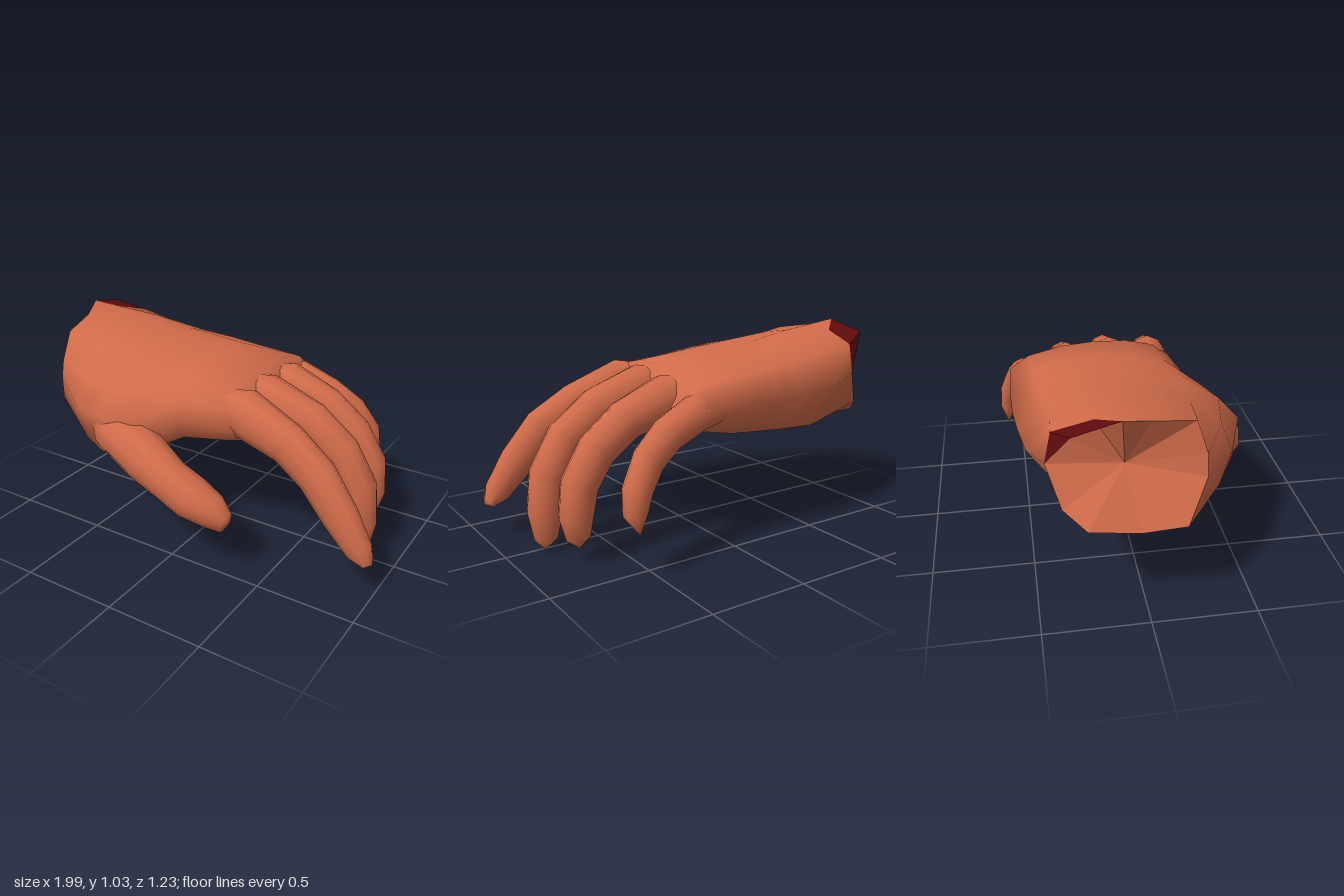
import * as THREE from 'three';

const skin = new THREE.MeshStandardMaterial({ color: 0xd06b49, side: THREE.DoubleSide });
skin.name = 'skin';
const flesh = new THREE.MeshStandardMaterial({ color: 0x5e0b0d, side: THREE.DoubleSide });
flesh.name = 'flesh';

function build(pos, index) {
  const g = new THREE.BufferGeometry();
  g.setAttribute('position', new THREE.Float32BufferAttribute(pos, 3));
  g.setIndex(index);
  g.computeVertexNormals();
  return g;
}

// Skin over a row of equal-length rings, closed to a point at the far end
function loft(rings, tip) {
  const n = rings[0].length;
  const last = (rings.length - 1) * n;
  const index = [];
  for (let j = 0; j < n; j++) {
    const k = (j + 1) % n;
    for (let i = 0; i < last; i += n) index.push(i + j, i + k, i + j + n, i + k, i + k + n, i + j + n);
    index.push(last + n, last + j, last + k);
  }
  return build([...rings.flat(2), ...tip], index);
}

// Flat-sided fan from one point to a row of points
function fan(apex, points) {
  const pos = [];
  for (let i = 0; i < points.length - 1; i++) pos.push(...apex, ...points[i + 1], ...points[i]);
  return build(pos, pos.slice(0, pos.length / 3).map((_, i) => i));
}

// Digit from stations [x, y, z, radius up, radius sideways]; the last station is the tip
function digit(stations, sides = 10) {
  const p = stations.map(s => new THREE.Vector3(s[0], s[1], s[2]));
  const rings = [];
  for (let i = 0; i < p.length - 1; i++) {
    const t = p[i + 1].clone().sub(p[Math.max(i - 1, 0)]).normalize();
    const side = new THREE.Vector3(0, 0, 1).addScaledVector(t, -t.z).normalize();
    const up = side.clone().cross(t);
    const ring = [];
    for (let j = 0; j < sides; j++) {
      const a = j / sides * Math.PI * 2;
      ring.push(p[i].clone()
        .addScaledVector(up, Math.cos(a) * stations[i][3])
        .addScaledVector(side, Math.sin(a) * stations[i][4]).toArray());
    }
    rings.push(ring);
  }
  return loft(rings, p[p.length - 1].toArray());
}

// Uneven wrist edge, and palm cross-sections as [y, z] from the back of the hand round to the palm
const rim = [
  [-0.82, 0.93, -0.41], [-0.84, 0.985, -0.23], [-0.955, 1.03, -0.13], [-0.9, 0.99, 0.0],
  [-0.86, 0.955, 0.2], [-0.88, 0.8, 0.25], [-0.9, 0.7, 0.25], [-1, 0.52, 0.15],
  [-0.99, 0.5, -0.05], [-0.99, 0.53, -0.28], [-0.91, 0.6, -0.38], [-0.82, 0.78, -0.44],
];
const sections = [
  [-0.62, [[0.9, -0.4], [0.96, -0.27], [0.99, -0.13], [0.96, 0.05], [0.91, 0.23], [0.79, 0.38],
    [0.64, 0.44], [0.46, 0.39], [0.415, 0.27], [0.425, -0.03], [0.5, -0.35], [0.73, -0.51]]],
  [-0.4, [[0.87, -0.42], [0.92, -0.28], [0.95, -0.12], [0.935, 0.07], [0.89, 0.27], [0.81, 0.42],
    [0.69, 0.53], [0.49, 0.52], [0.42, 0.34], [0.445, -0.04], [0.515, -0.37], [0.72, -0.54]]],
  [-0.24, [[0.86, -0.43], [0.91, -0.28], [0.93, -0.12], [0.92, 0.07], [0.88, 0.25], [0.8, 0.38],
    [0.67, 0.48], [0.5, 0.47], [0.45, 0.3], [0.475, -0.06], [0.53, -0.38], [0.72, -0.555]]],
  [-0.05, [[0.84, -0.44], [0.895, -0.28], [0.91, -0.12], [0.9, 0.07], [0.86, 0.23], [0.78, 0.33],
    [0.68, 0.35], [0.57, 0.3], [0.55, 0.15], [0.56, -0.1], [0.55, -0.4], [0.73, -0.56]]],
  [0.2, [[0.82, -0.45], [0.865, -0.27], [0.878, -0.12], [0.875, 0.07], [0.84, 0.22], [0.78, 0.3],
    [0.68, 0.31], [0.6, 0.26], [0.6, 0.1], [0.6, -0.12], [0.6, -0.4], [0.75, -0.55]]],
  // Webbing between the finger roots
  [0.29, [[0.68, -0.42], [0.7, -0.26], [0.71, -0.12], [0.71, 0.05], [0.7, 0.18], [0.68, 0.23],
    [0.65, 0.24], [0.6, 0.2], [0.6, 0.08], [0.6, -0.12], [0.61, -0.37], [0.65, -0.46]]],
];

// Digits: x, y, z, radius up, radius sideways
const digits = {
  indexFinger: [[0.02, 0.74, 0.19, 0.08, 0.07], [0.25, 0.735, 0.2, 0.13, 0.105], [0.5, 0.65, 0.23, 0.11, 0.085],
    [0.67, 0.545, 0.26, 0.105, 0.08], [0.81, 0.38, 0.28, 0.095, 0.075], [0.92, 0.235, 0.29, 0.07, 0.058],
    [0.965, 0.185, 0.29, 0.03, 0.045], [0.99, 0.18, 0.29]],
  middleFinger: [[0.02, 0.75, -0.01, 0.08, 0.08], [0.25, 0.75, -0.01, 0.12, 0.11], [0.5, 0.67, -0.01, 0.11, 0.09],
    [0.67, 0.55, -0.01, 0.1, 0.085], [0.77, 0.38, -0.015, 0.1, 0.085], [0.795, 0.2, -0.015, 0.09, 0.085],
    [0.795, 0.06, -0.015, 0.06, 0.055], [0.8, 0, -0.015]],
  ringFinger: [[0.02, 0.74, -0.24, 0.08, 0.07], [0.25, 0.735, -0.245, 0.12, 0.11], [0.47, 0.66, -0.25, 0.105, 0.085],
    [0.63, 0.54, -0.255, 0.1, 0.08], [0.725, 0.39, -0.26, 0.095, 0.08], [0.745, 0.24, -0.255, 0.085, 0.08],
    [0.735, 0.13, -0.25, 0.06, 0.055], [0.73, 0.075, -0.25]],
  littleFinger: [[0, 0.7, -0.42, 0.06, 0.05], [0.21, 0.7, -0.455, 0.09, 0.09], [0.38, 0.63, -0.48, 0.09, 0.07],
    [0.51, 0.54, -0.52, 0.085, 0.06], [0.59, 0.42, -0.555, 0.075, 0.06], [0.61, 0.32, -0.57, 0.06, 0.05],
    [0.59, 0.22, -0.58]],
  thumb: [[-0.58, 0.65, 0.26, 0.1, 0.1], [-0.36, 0.575, 0.41, 0.135, 0.145], [-0.16, 0.505, 0.475, 0.13, 0.125],
    [0.01, 0.44, 0.51, 0.11, 0.105], [0.13, 0.385, 0.51, 0.11, 0.11], [0.25, 0.34, 0.505, 0.09, 0.085],
    [0.325, 0.3, 0.505, 0.055, 0.05], [0.35, 0.31, 0.51]],
};

export function createModel() {
  const hand = new THREE.Group();
  hand.name = 'hand';
  const add = (name, geometry, material) => {
    const mesh = new THREE.Mesh(geometry, material);
    mesh.name = name;
    hand.add(mesh);
  };

  // Palm, open at the wrist and closed behind the knuckles
  const rings = [rim, ...sections.map(([x, loop]) => loop.map(([y, z]) => [x, y, z]))];
  add('palm', loft(rings, [0.3, 0.65, -0.1]), skin);

  // Dished wrist end, with a dark flap standing out at the upper back corner
  add('wristEnd', fan([-0.83, 0.76, -0.1], [...rim, rim[0]]), skin);
  add('wristFlap', fan([-0.97, 0.98, -0.34], [rim[11], rim[0], rim[1], rim[2]]), flesh);

  for (const [name, stations] of Object.entries(digits)) add(name, digit(stations), skin);
  return hand;
}
